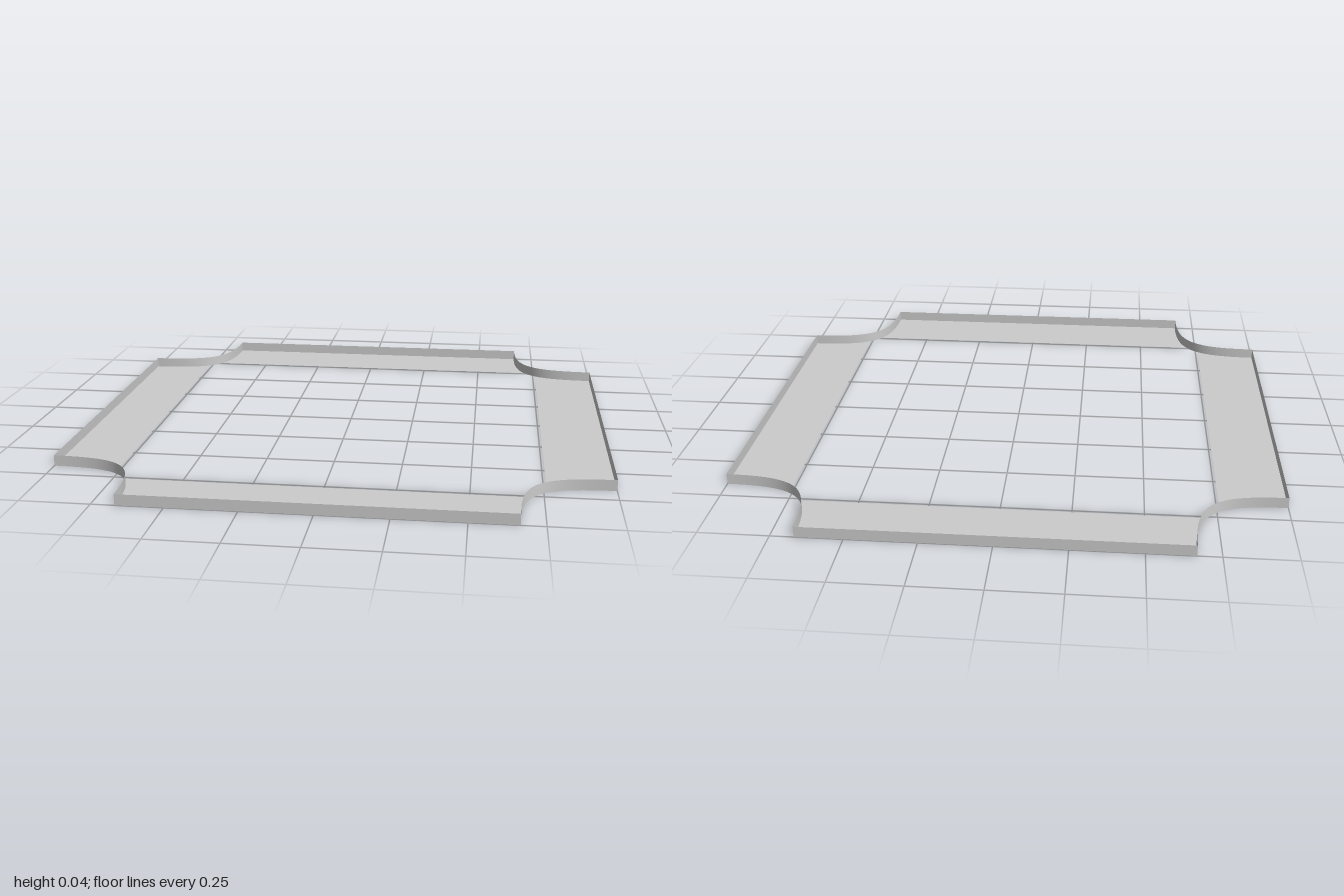
import * as THREE from 'three';

const EDGE = 0.667;    // half length of each straight side
const HEIGHT = 0.04;   // rim height
const INNER = 0.76;    // distance of the flange's inner edge from the centre

// Curved corner notch in plan, from the front side to the left side (x, z)
const D = 1 - EDGE, K = 0.8 * D;
const notch = new THREE.CubicBezierCurve(
  new THREE.Vector2(EDGE, 1),
  new THREE.Vector2(EDGE, 1 - K),
  new THREE.Vector2(1 - K, EDGE),
  new THREE.Vector2(1, EDGE)
);

// Flat flange at the bottom of one side, its ends following the notches
function flangeGeometry() {
  let lo = 0, hi = 0.5;
  for (let i = 0; i < 24; i++) {
    const mid = (lo + hi) / 2;
    if (notch.getPoint(mid).y > INNER) lo = mid; else hi = mid;
  }
  const end = [];
  for (let i = 0; i <= 10; i++) {
    const p = notch.getPoint(lo * i / 10);
    end.push(new THREE.Vector2(p.x, -p.y));
  }
  const mirrored = end.map(p => new THREE.Vector2(-p.x, p.y)).reverse();
  const geometry = new THREE.ShapeGeometry(new THREE.Shape([...end, ...mirrored]));
  return geometry.rotateX(-Math.PI / 2);
}

// Upright strip bent along the notch
function notchWallGeometry() {
  const geometry = new THREE.PlaneGeometry(1, HEIGHT, 24, 1);
  const pos = geometry.attributes.position;
  for (let i = 0; i < pos.count; i++) {
    const p = notch.getPoint(pos.getX(i) + 0.5);
    pos.setXYZ(i, p.x, pos.getY(i) + HEIGHT / 2, p.y);
  }
  geometry.computeVertexNormals();
  return geometry;
}

export function createModel() {
  const model = new THREE.Group();
  model.name = 'notchedFrame';
  const grey = new THREE.MeshStandardMaterial({ color: 0xcccccc, side: THREE.DoubleSide });
  grey.name = 'light grey';

  const parts = {
    flange: flangeGeometry(),
    sideWall: new THREE.PlaneGeometry(2 * EDGE, HEIGHT).translate(0, HEIGHT / 2, 1),
    notchWall: notchWallGeometry(),
  };

  // The same side and corner repeat every quarter turn
  ['front', 'left', 'back', 'right'].forEach((side, i) => {
    const group = new THREE.Group();
    group.name = side + 'Side';
    group.rotation.y = i * Math.PI / 2;
    for (const [name, geometry] of Object.entries(parts)) {
      const mesh = new THREE.Mesh(geometry, grey);
      mesh.name = name;
      group.add(mesh);
    }
    model.add(group);
  });
  return model;
}
